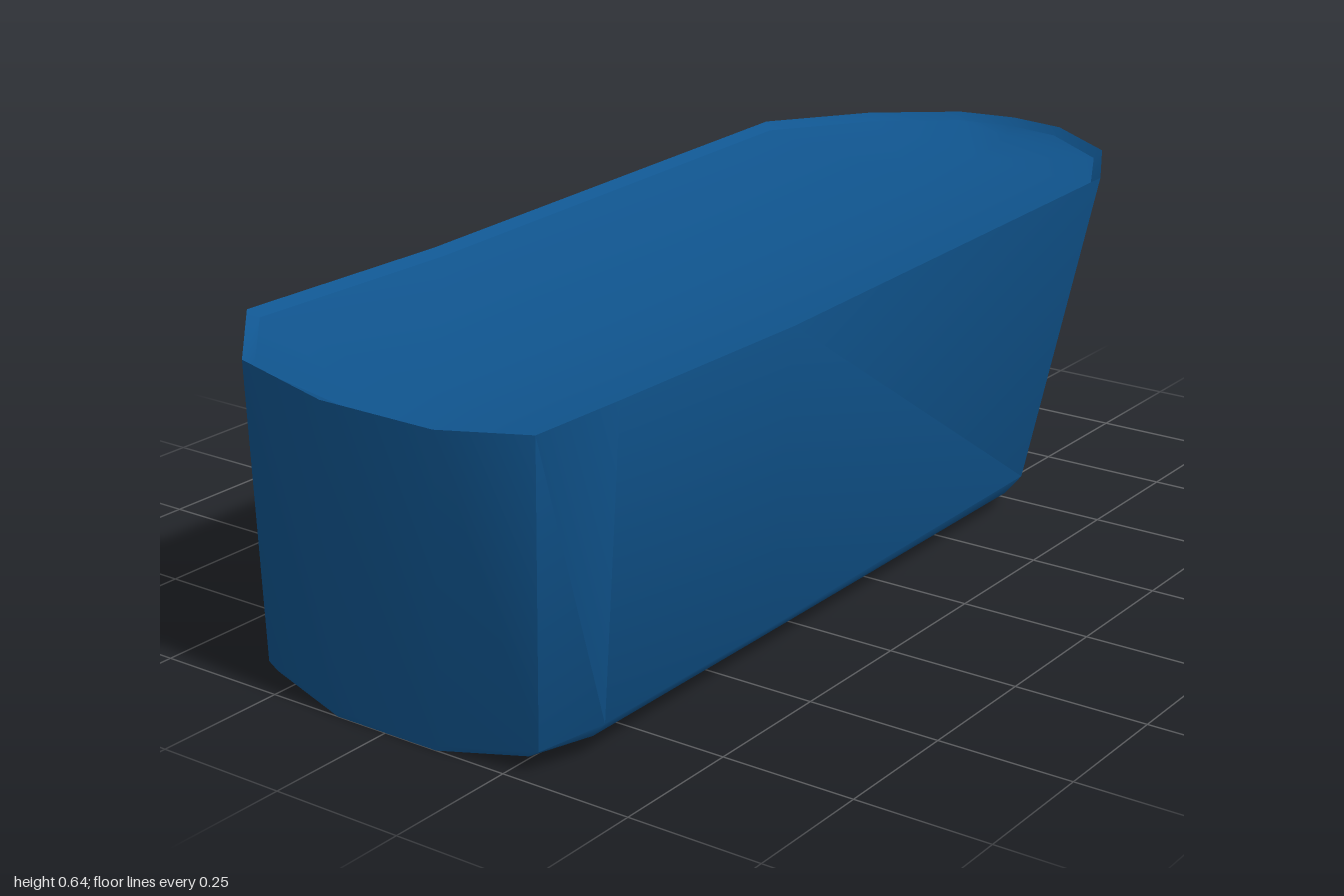
import * as THREE from 'three';
import { toCreasedNormals } from 'three/addons/utils/BufferGeometryUtils.js';

const hullMaterial = new THREE.MeshStandardMaterial({ color: 0x10558f });

// Half outlines from the stem (+x) round the +z side to the stern
const rim = [
  [1, 0.635, 0], [0.98, 0.635, 0.12], [0.87, 0.632, 0.28], [0.65, 0.64, 0.395],
  [-0.4, 0.615, 0.395], [-0.87, 0.62, 0.395], [-0.97, 0.575, 0.31], [-0.99, 0.55, 0.12],
];
const chine = [
  [0.76, 0.08, 0], [0.74, 0.08, 0.11], [0.65, 0.075, 0.25], [0.46, 0.07, 0.35],
  [-0.4, 0.065, 0.355], [-0.87, 0.065, 0.355], [-0.97, 0.04, 0.3], [-1, 0.01, 0.12],
];
const bottom = [
  [0.7, 0.042, 0], [0.68, 0.042, 0.1], [0.61, 0.04, 0.23], [0.43, 0.039, 0.33],
  [-0.4, 0.037, 0.33], [-0.87, 0.037, 0.33], [-0.97, 0.027, 0.28], [-1, 0, 0.11],
];
const deckEdge = rim.map(([x, y, z]) => [x * 0.985, y - 0.015, z * 0.96]);

// Mirror to the -z side, where the lower hull is slightly narrower
const LOWER = 0.965;
const flip = ([x, y, z], k = 1) => [x, y, -z * k];
// Full closed outline from a half one
const ring = (half, k = 1) =>
  [...half, ...half.slice(1).reverse().map((p) => flip(p, k)), half[0]];

// Skin a grid of points with triangles, keeping hard edges above the crease angle
function skin(name, rows, crease) {
  const cols = rows[0].length;
  const index = [];
  for (let r = 0; r < rows.length - 1; r++) {
    for (let c = 0; c < cols - 1; c++) {
      const a = r * cols + c, d = a + cols;
      index.push(a, a + 1, d, a + 1, d + 1, d);
    }
  }
  const geometry = new THREE.BufferGeometry();
  geometry.setAttribute('position', new THREE.Float32BufferAttribute(rows.flat(2), 3));
  geometry.setIndex(index);
  const mesh = new THREE.Mesh(toCreasedNormals(geometry, crease), hullMaterial);
  mesh.name = name;
  return mesh;
}

export function createModel() {
  const group = new THREE.Group();
  group.name = 'boatHull';

  // Raked sides, rounded stern and the bevel below the chine
  group.add(skin('hullSides', [ring(rim), ring(chine, LOWER), ring(bottom, LOWER)], 0.85));

  // Shallow inner lip around the deck
  group.add(skin('bulwarkLip', [ring(deckEdge), ring(rim)], 0.75));

  // Deck sloping down to a shallow valley along the middle
  group.add(skin('deck', deckEdge.map((p) => {
    const [x, y, z] = p;
    return [p, [x, Math.max(y - 0.15 * z, 0.53), 0], flip(p)];
  }), 0.6));

  // Underside: a flat keel strip dropping towards the stern, with sloped flanks
  group.add(skin('underside', bottom.map((p) => {
    const [x, y, z] = p;
    const keel = [x, Math.min(y, 0.042 * (x + 1) / 1.7), z * 0.33];
    return [flip(p, LOWER), flip(keel), keel, p];
  }), 0.6));

  return group;
}
